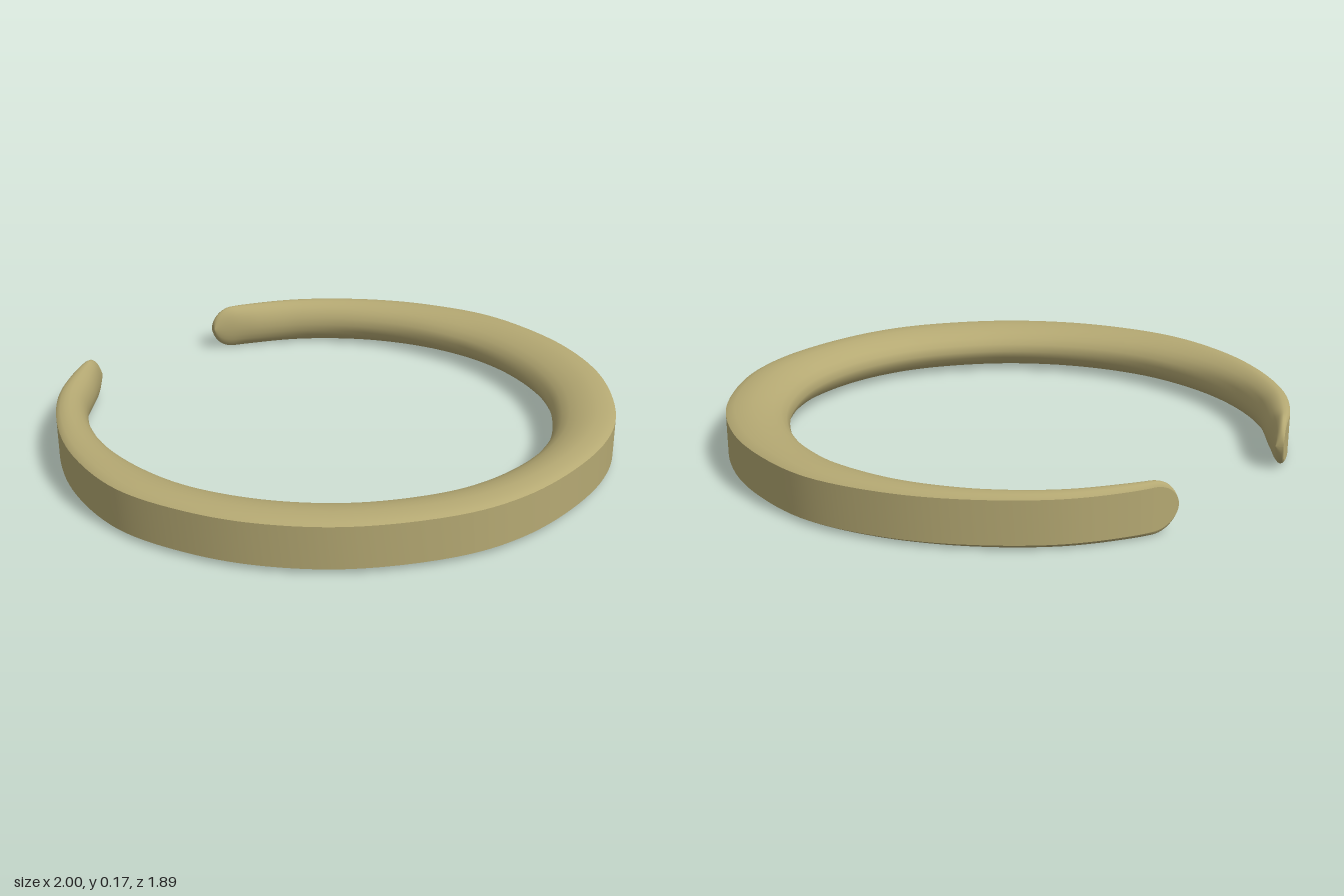
import * as THREE from 'three';

// Half outlines in plan (x, z), from the front centre to the open tip
const OUTER = [[0, .945], [.25, .92], [.46, .84], [.73, .63], [.89, .40], [.97, .18],
  [1, -.07], [.94, -.33], [.83, -.545], [.65, -.76], [.46, -.89], [.315, -.95]];
const INNER = [[0, .75], [.19, .725], [.35, .66], [.54, .52], [.68, .34], [.77, .13],
  [.80, -.06], [.775, -.32], [.685, -.545], [.57, -.70], [.42, -.825], [.305, -.925]];

// Cross-section: u runs from the outer wall (0) to the inner edge (1), v is height (-1..1)
const WALL = [[0, -.82], [0, 0], [0, .82]];
const TOP = [[0, .82], [.05, .89], [.14, .96], [.3, 1], [.45, .97], [.6, .88],
  [.74, .75], [.86, .57], [.95, .32]];
const BODY = [...TOP, [1, 0], ...TOP.map(([u, v]) => [u, -v]).reverse()];

const HALF_HEIGHT = 0.086;
const TIP_ROUND = 0.09;
const STATIONS = 200;

// Mirrors a half outline into a smooth curve from tip to tip
function outline(half) {
  const left = half.slice(1).reverse().map(([x, z]) => [-x, z]);
  return new THREE.CatmullRomCurve3([...left, ...half].map(([x, z]) => new THREE.Vector3(x, 0, z)));
}

// Sweeps a section between the two outlines, rounding the height off at the tips
function sweep(section) {
  const outer = outline(OUTER), inner = outline(INNER);
  const positions = [], indices = [], m = section.length;
  for (let i = 0; i <= STATIONS; i++) {
    const t = 0.5 - 0.5 * Math.cos(Math.PI * i / STATIONS);
    const a = outer.getPoint(t), b = inner.getPoint(t);
    const d = Math.min(1, Math.min(t, 1 - t) * 22 * 0.15 / TIP_ROUND);
    const h = HALF_HEIGHT * Math.sqrt(Math.max(0, 1 - (1 - d) ** 2));
    for (const [u, v] of section) {
      const p = a.clone().lerp(b, u);
      positions.push(p.x, HALF_HEIGHT + v * h, p.z);
    }
  }
  for (let i = 0; i < STATIONS; i++) {
    for (let j = 0; j < m - 1; j++) {
      const k = i * m + j;
      indices.push(k, k + m, k + 1, k + 1, k + m, k + m + 1);
    }
  }
  const geometry = new THREE.BufferGeometry();
  geometry.setAttribute('position', new THREE.Float32BufferAttribute(positions, 3));
  geometry.setIndex(indices);
  geometry.computeVertexNormals();
  return geometry;
}

export function createModel() {
  const group = new THREE.Group();
  group.name = 'openBangle';
  const brass = new THREE.MeshStandardMaterial({ color: 0xb5a973 });
  brass.name = 'brass';

  // Flat outer band and rounded inner body, kept apart for the crease between them
  for (const [name, section] of [['outerBand', WALL], ['roundedBody', BODY]]) {
    const mesh = new THREE.Mesh(sweep(section), brass);
    mesh.name = name;
    group.add(mesh);
  }
  return group;
}
